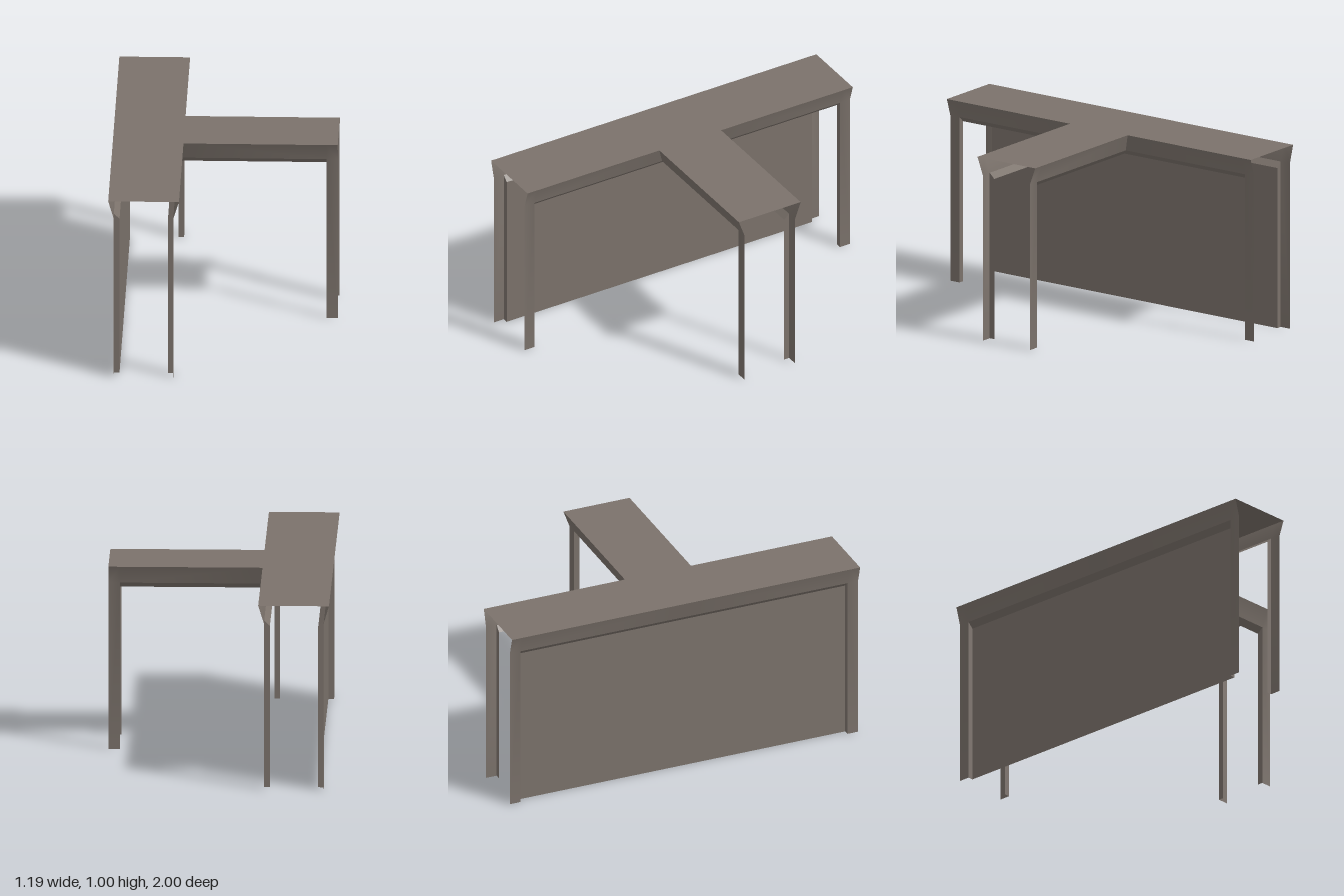
import * as THREE from 'three';

// Sheet profile from roof edge to inner lip: three levels of offset and height
const TOP = 1, MID = 0.905, LOW = 0.876;
const ARM = [0.19, 0.155, 0.125];          // half width of the side arm
const INNER = [-0.22, -0.25, -0.28];       // x of the long run's open side
const BACK = [-0.593, -0.565, -0.535];     // x of the long run's closed side
const ARM_END = 0.593, LEG = 0.061;

export function createModel() {
  const model = new THREE.Group();
  const stone = new THREE.MeshStandardMaterial({ color: 0x7b726b, side: THREE.DoubleSide });
  stone.name = 'warm grey';

  function sheet(name, points, faces, parent) {
    const g = new THREE.BufferGeometry();
    g.setAttribute('position', new THREE.Float32BufferAttribute(points.flat(), 3));
    g.setIndex(faces.flatMap(([a, b, c, d]) => [a, b, c, a, c, d]));
    g.computeVertexNormals();
    const mesh = new THREE.Mesh(g, stone);
    mesh.name = name;
    parent.add(mesh);
  }

  // One side run: sloped fascia, end leg, chamfered lintel, reveal and optional wall.
  // at(u, level, y) gives a point; start holds the mitred beginning for each level.
  function sideRun(name, at, start, end, walled) {
    const run = new THREE.Group();
    run.name = name;
    model.add(run);
    const leg = end - LEG;
    const quad = [[0, 1, 2, 3]];
    sheet('fasciaAndLeg', [
      at(start[0], 0, TOP), at(leg, 0, TOP), at(end, 0, TOP),
      at(start[1], 1, MID), at(leg, 1, MID), at(end, 1, MID),
      at(leg, 1, 0), at(end, 1, 0),
    ], [[0, 3, 4, 1], [1, 4, 5, 2], [4, 6, 7, 5]], run);
    sheet('lintel', [at(start[1], 1, MID), at(start[2], 2, LOW),
      at(leg, 2, LOW), at(leg, 1, MID)], quad, run);
    sheet('legReveal', [at(leg, 1, 0), at(leg, 1, MID),
      at(leg, 2, LOW), at(leg, 2, 0)], quad, run);
    if (walled) {
      sheet('wall', [at(start[2], 2, 0), at(leg, 2, 0),
        at(leg, 2, LOW), at(start[2], 2, LOW)], quad, run);
    }
  }

  // Mirrored runs on both sides of the arm
  for (const s of [1, -1]) {
    const side = s > 0 ? 'front' : 'back';
    sideRun(side + 'ArmSide', (u, n, y) => [u, y, s * ARM[n]], INNER, ARM_END, false);
    sideRun(side + 'OpenSide', (u, n, y) => [INNER[n], y, s * u], ARM, 1, false);
    sideRun(side + 'WalledSide', (u, n, y) => [BACK[n], y, s * u], [0, 0, 0], 1, true);
  }

  // T-shaped roof
  const outline = [
    [BACK[0], -1], [INNER[0], -1], [INNER[0], -ARM[0]], [ARM_END, -ARM[0]],
    [ARM_END, ARM[0]], [INNER[0], ARM[0]], [INNER[0], 1], [BACK[0], 1],
  ].map(([x, z]) => new THREE.Vector2(x, z));
  const roof = new THREE.Mesh(
    new THREE.ShapeGeometry(new THREE.Shape(outline)).rotateX(-Math.PI / 2).translate(0, TOP, 0), stone);
  roof.name = 'roof';
  model.add(roof);

  return model;
}
